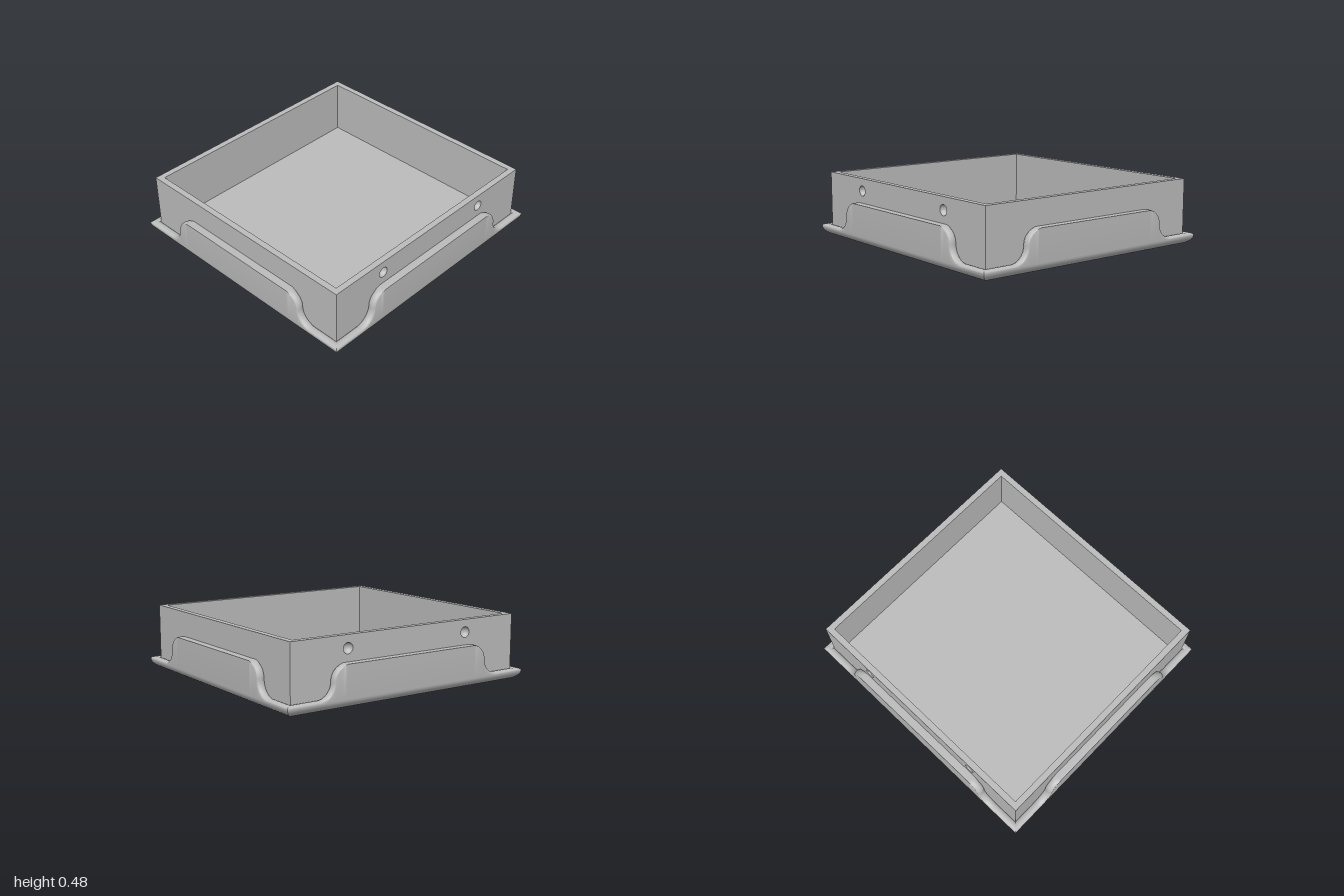
import * as THREE from 'three';
import { toCreasedNormals } from 'three/addons/utils/BufferGeometryUtils.js';

const OUT_X = 0.96, OUT_Z = 1.0;      // skirt half sizes
const BODY_X = 0.903, BODY_Z = 0.943; // tray half sizes
const WALL = 0.045, TOP = 0.48, FLOOR = 0.07;
const LOW = 0.085, HIGH = 0.3;        // skirt edge heights
const BEAD = 0.015, ROUND = 0.1;

// Skirt edge from corner to corner: low lip, S-curve, raised tab, mirrored
function skirtEdge(half, tab) {
  const r = (HIGH - LOW) / 2, n = 14, left = [];
  left.push({ u: -half, y: LOW, nu: 0, ny: 1, h: BEAD });
  for (let i = 0; i <= n; i++) {
    const a = -Math.PI / 2 * (1 - i / n), c = Math.cos(a), s = Math.sin(a);
    left.push({ u: -(tab + 2 * r) + r * c, y: LOW + r + r * s, nu: -c, ny: -s, h: BEAD });
  }
  for (let i = 1; i <= n; i++) {
    const a = Math.PI - Math.PI / 2 * i / n, c = Math.cos(a), s = Math.sin(a);
    const fade = Math.min(1, (1 - i / n) * 3);
    left.push({ u: -tab + r * c, y: LOW + r + r * s, nu: c, ny: s, h: BEAD * fade });
  }
  const right = left.map(p => ({ ...p, u: -p.u, nu: -p.nu })).reverse();
  return [...left, ...right];
}

// One side of the skirt: rounded underside, upright face and beaded edge
function skirtSide(half, outer, thick, tab) {
  const pos = [], idx = [], Q = 10, B = 10;
  const edge = skirtEdge(half, tab), rows = Q + B + 2;
  for (const p of edge) {
    const eu = p.u - p.nu * p.h, ey = p.y - p.ny * p.h;
    const add = (u, y, inset) => {
      const limit = half - inset; // mitre at the corners
      pos.push(Math.max(-limit, Math.min(limit, u)), y, outer - inset);
    };
    for (let j = 0; j <= Q; j++) {
      const a = Math.PI / 2 * j / Q;
      add(eu, (LOW - BEAD) * (1 - Math.cos(a)), ROUND * (1 - Math.sin(a)));
    }
    for (let j = 0; j <= B; j++) {
      const a = Math.PI * j / B, d = p.h * (1 - Math.sin(a));
      add(p.u - p.nu * d, p.y - p.ny * d, thick / 2 * (1 - Math.cos(a)));
    }
  }
  for (let i = 0; i < edge.length - 1; i++) {
    for (let j = 0; j < rows - 1; j++) {
      const a = i * rows + j, b = a + rows;
      idx.push(a, b, b + 1, a, b + 1, a + 1);
    }
  }
  const g = new THREE.BufferGeometry();
  g.setAttribute('position', new THREE.Float32BufferAttribute(pos, 3));
  g.setIndex(idx);
  return toCreasedNormals(g, 0.7);
}

export function createModel() {
  const grey = new THREE.MeshStandardMaterial({ color: 0xbcbcbc, side: THREE.DoubleSide });
  grey.name = 'light grey';
  const model = new THREE.Group();
  model.name = 'tray';
  const add = (name, geometry, parent = model) => {
    const m = new THREE.Mesh(geometry, grey);
    m.name = name;
    parent.add(m);
    return m;
  };

  // Flat underside and tray floor
  const under = add('underside', new THREE.PlaneGeometry(2 * (OUT_X - ROUND), 2 * (OUT_Z - ROUND)));
  under.rotation.x = Math.PI / 2;
  const floor = add('floor', new THREE.PlaneGeometry(2 * BODY_X, 2 * BODY_Z));
  floor.rotation.x = -Math.PI / 2;
  floor.position.y = FLOOR;

  // Front and back walls
  const height = TOP - FLOOR;
  for (const s of [1, -1]) {
    const w = add(s > 0 ? 'frontWall' : 'backWall', new THREE.BoxGeometry(2 * (BODY_X - WALL), height, WALL));
    w.position.set(0, FLOOR + height / 2, s * (BODY_Z - WALL / 2));
  }

  // Side walls with two round dimples each
  const R = 0.038, HOLE_Y = 0.39, HOLE_Z = 0.5, BACK = WALL - R - 0.001;
  const shape = new THREE.Shape();
  shape.moveTo(-BODY_Z, FLOOR).lineTo(BODY_Z, FLOOR).lineTo(BODY_Z, TOP).lineTo(-BODY_Z, TOP).closePath();
  for (const z of [HOLE_Z, -HOLE_Z]) {
    shape.holes.push(new THREE.Path().absarc(z, HOLE_Y, R, 0, Math.PI * 2, true));
  }
  const wallGeo = new THREE.ExtrudeGeometry(shape, { depth: WALL - BACK, bevelEnabled: false, curveSegments: 16 });
  const cupGeo = new THREE.SphereGeometry(R, 32, 12, 0, Math.PI * 2, 0, Math.PI / 2);
  cupGeo.rotateX(-Math.PI / 2);
  for (const s of [1, -1]) {
    const side = new THREE.Group();
    side.name = s > 0 ? 'leftWall' : 'rightWall';
    side.rotation.y = s * Math.PI / 2;
    model.add(side);
    add('wallOuter', wallGeo, side).position.z = BODY_X - WALL + BACK;
    add('wallInner', new THREE.BoxGeometry(2 * BODY_Z, height, BACK), side)
      .position.set(0, FLOOR + height / 2, BODY_X - WALL + BACK / 2);
    for (const z of [HOLE_Z, -HOLE_Z]) add('dimple', cupGeo, side).position.set(z, HOLE_Y, BODY_X);
  }

  // Skirt on all four sides
  const endGeo = skirtSide(OUT_X, OUT_Z, OUT_Z - BODY_Z, 0.5);
  const sideGeo = skirtSide(OUT_Z, OUT_X, OUT_X - BODY_X, 0.54);
  ['frontSkirt', 'leftSkirt', 'backSkirt', 'rightSkirt'].forEach((name, i) => {
    add(name, i % 2 ? sideGeo : endGeo).rotation.y = i * Math.PI / 2;
  });
  return model;
}
